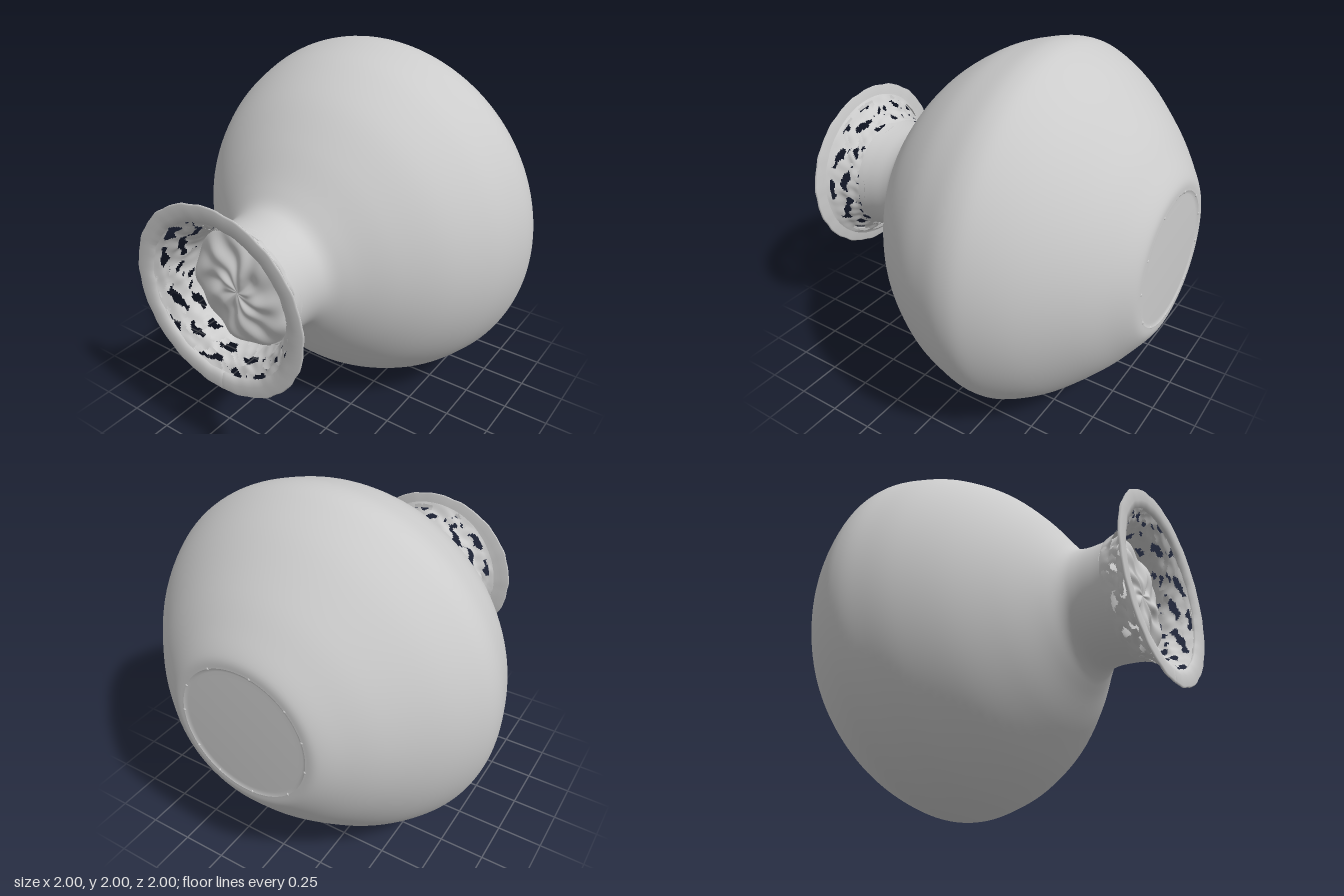
import * as THREE from 'three';

const material = new THREE.MeshStandardMaterial({ color: 0xcccccc, side: THREE.DoubleSide });

// Smooth curve through [radius, z] pairs
const smooth = (pairs, n) =>
  new THREE.SplineCurve(pairs.map(([r, z]) => new THREE.Vector2(r, z))).getPoints(n);

// Lathe whose axis runs along z
function latheZ(name, points, segments = 128) {
  const geometry = new THREE.LatheGeometry(points, segments).rotateX(Math.PI / 2);
  const mesh = new THREE.Mesh(geometry, material);
  mesh.name = name;
  return mesh;
}

// Irregular pattern that repeats cleanly around the circle, in long slots
function worn(angle, t, seed) {
  const warp = 1.2 * Math.sin(3 * angle + seed) + 0.9 * Math.sin(8 * angle + seed * 2);
  return Math.sin(t * 17 + warp * 1.6)
    + 0.8 * Math.sin(13 * angle + 6 * t + seed)
    + 0.5 * Math.sin(29 * angle - 11 * t + seed * 3);
}

// Lathed band with worn slots cut out of it and a slightly ragged surface
function wornBand(name, pairs, seed, limit, rows = 30, columns = 240) {
  const mesh = latheZ(name, smooth(pairs, rows), columns);
  const geometry = mesh.geometry;
  const position = geometry.attributes.position;
  const kept = [];
  for (let c = 0; c < columns; c++) {
    for (let r = 0; r < rows; r++) {
      const t = (r + 0.5) / rows;
      const angle = ((c + 0.5) / columns) * Math.PI * 2;
      const edge = 3 * Math.pow(Math.abs(2 * t - 1), 6);
      if (worn(angle, t, seed) > limit + edge) continue;
      const a = c * (rows + 1) + r, b = a + rows + 1;
      kept.push(a, b, a + 1, b + 1, a + 1, b);
    }
  }
  for (let i = 0; i < position.count; i++) {
    const t = (i % (rows + 1)) / rows;
    const angle = (Math.floor(i / (rows + 1)) / columns) * Math.PI * 2;
    const k = 1 + 0.012 * Math.sin(Math.PI * t) * worn(angle, t, seed + 1);
    position.setXY(i, position.getX(i) * k, position.getY(i) * k);
  }
  geometry.setIndex(kept);
  geometry.computeVertexNormals();
  return mesh;
}

export function createModel() {
  const group = new THREE.Group();
  const vase = new THREE.Group();
  vase.name = 'vase';
  vase.position.y = 1;
  group.add(vase);

  // Round body narrowing into the neck
  vase.add(latheZ('body', smooth([
    [0.36, -0.995], [0.42, -0.985], [0.52, -0.92], [0.67, -0.8], [0.86, -0.6],
    [0.97, -0.42], [1, -0.3], [0.98, -0.17], [0.92, 0], [0.79, 0.2],
    [0.61, 0.37], [0.43, 0.5], [0.345, 0.57], [0.32, 0.64], [0.32, 0.74], [0.33, 0.82],
  ], 90)));

  // Flat foot with a faint groove at its edge
  vase.add(latheZ('foot', [
    [0, -0.995], [0.32, -0.995], [0.34, -0.985], [0.36, -0.995],
  ].reverse().map(([r, z]) => new THREE.Vector2(r, z)).reverse()));

  // Pits around the foot
  const pits = new THREE.Group();
  pits.name = 'footPits';
  for (let i = 0; i < 11; i++) {
    const a = i * 0.571 + 0.1 * Math.sin(i * 5);
    const pit = new THREE.Mesh(new THREE.SphereGeometry(0.009, 8, 6), material);
    pit.position.set(0.36 * Math.cos(a), 0.36 * Math.sin(a), -0.99);
    pits.add(pit);
  }
  vase.add(pits);

  // Worn, slotted flare in two thin layers
  const mouth = new THREE.Group();
  mouth.name = 'mouth';
  mouth.position.x = -0.012;
  mouth.add(wornBand('outerFlare', [
    [0.325, 0.79], [0.345, 0.85], [0.37, 0.9], [0.41, 0.945], [0.45, 0.975],
  ], 1.3, 0.3));
  mouth.add(wornBand('innerFlare', [
    [0.31, 0.8], [0.33, 0.87], [0.36, 0.925], [0.4, 0.96], [0.44, 0.985],
  ], 1.9, 0.1));

  // Thin flat rim, slightly wavy at the edge
  const rim = latheZ('rim', [
    [0.43, 0.968], [0.47, 0.978], [0.515, 0.985], [0.522, 0.992],
    [0.515, 1], [0.46, 0.998], [0.425, 0.985], [0.43, 0.968],
  ].map(([r, z]) => new THREE.Vector2(r, z)));
  const edge = rim.geometry.attributes.position;
  for (let i = 0; i < edge.count; i++) {
    const x = edge.getX(i), y = edge.getY(i), a = Math.atan2(y, x);
    const k = 1 + 0.004 * Math.sin(17 * a) + 0.003 * Math.sin(31 * a);
    edge.setXY(i, x * k * 1.005 - 0.008, y * k * 0.97);
  }
  rim.geometry.computeVertexNormals();
  mouth.add(rim);
  vase.add(mouth);

  // Lumpy filling that closes the neck
  const filling = latheZ('filling', smooth([
    [0.325, 0.79], [0.31, 0.82], [0.25, 0.845], [0.16, 0.86], [0.07, 0.87], [0, 0.865],
  ], 36), 96);
  const lump = filling.geometry.attributes.position;
  for (let i = 0; i < lump.count; i++) {
    const x = lump.getX(i), y = lump.getY(i);
    const r = Math.hypot(x, y), a = Math.atan2(y, x);
    const fade = Math.min(1, r / 0.12);
    const bump = 0.010 * Math.sin(5 * a + 14 * r) + 0.007 * Math.sin(9 * a - 25 * r)
      + 0.006 * Math.sin(31 * x + 2) * Math.sin(27 * y);
    lump.setZ(i, lump.getZ(i) + fade * bump);
  }
  filling.geometry.computeVertexNormals();
  vase.add(filling);

  return group;
}
